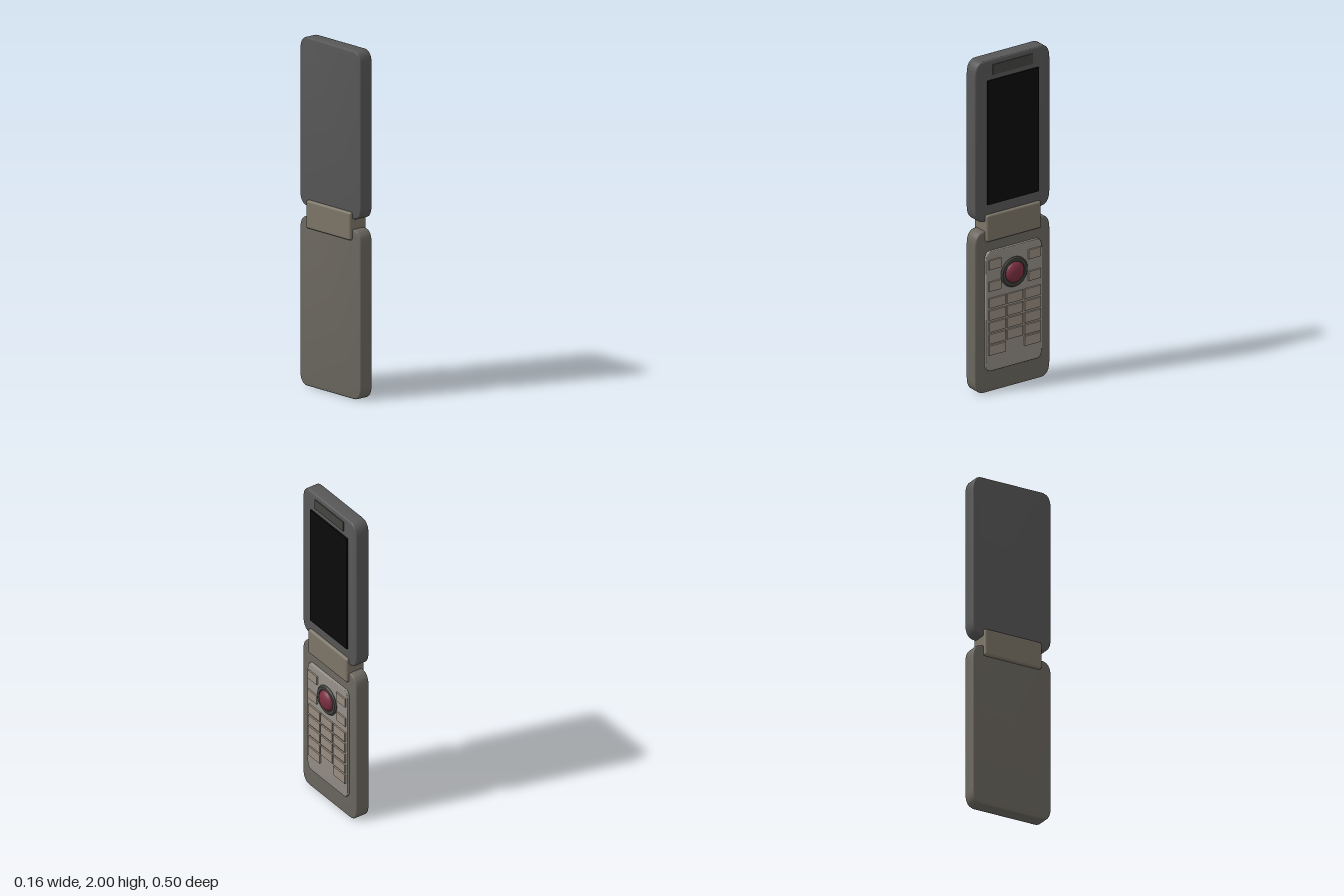
import * as THREE from 'three';
import { toCreasedNormals } from 'three/addons/utils/BufferGeometryUtils.js';
import { RoundedBoxGeometry } from 'three/addons/geometries/RoundedBoxGeometry.js';

const material = (color) => new THREE.MeshStandardMaterial({ color });
const lidGrey = material(0x575757);
const baseGrey = material(0x6b675f);
const hingeGrey = material(0x7c7568);
const padGrey = material(0x938e86);
const keyGrey = material(0x998d80);
const darkGrey = material(0x444441);
const black = material(0x0a0a0a);
const red = material(0x7a2f40);

// Rectangle with rounded corners; u runs along -z, v along y
function roundedRect(u0, u1, v0, v1, ru, rv) {
  const s = new THREE.Shape();
  s.moveTo(u0 + ru, v0);
  s.lineTo(u1 - ru, v0);
  s.quadraticCurveTo(u1, v0, u1, v0 + rv);
  s.lineTo(u1, v1 - rv);
  s.quadraticCurveTo(u1, v1, u1 - ru, v1);
  s.lineTo(u0 + ru, v1);
  s.quadraticCurveTo(u0, v1, u0, v1 - rv);
  s.lineTo(u0, v0 + rv);
  s.quadraticCurveTo(u0, v0, u0 + ru, v0);
  return s;
}

// Softly bevelled slab from x0 to x1, its outer size given by u and v
function slab(name, mat, [u0, u1], [v0, v1], [x0, x1], ru, rv, bevel) {
  const shape = roundedRect(u0, u1, v0, v1, ru, rv);
  const geo = new THREE.ExtrudeGeometry(shape, {
    depth: x1 - x0 - 2 * bevel,
    bevelEnabled: true,
    bevelSize: bevel,
    bevelOffset: -bevel,
    bevelThickness: bevel,
    bevelSegments: 3,
    curveSegments: 10,
  });
  geo.translate(0, 0, x0 + bevel);
  geo.rotateY(Math.PI / 2);
  const mesh = new THREE.Mesh(toCreasedNormals(geo, 0.6), mat);
  mesh.name = name;
  return mesh;
}

// Plain block from ranges along u, y and x
function block(name, mat, [u0, u1], [v0, v1], [x0, x1]) {
  const mesh = new THREE.Mesh(new THREE.BoxGeometry(x1 - x0, v1 - v0, u1 - u0), mat);
  mesh.position.set((x0 + x1) / 2, (v0 + v1) / 2, -(u0 + u1) / 2);
  mesh.name = name;
  return mesh;
}

export function createModel() {
  const phone = new THREE.Group();
  phone.name = 'flipPhone';

  // Lid with screen and earpiece
  const lid = new THREE.Group();
  lid.name = 'lid';
  lid.add(
    slab('lidShell', lidGrey, [-0.2525, 0.2525], [1.033, 2], [-0.062, 0.026], 0.06, 0.085, 0.008),
    block('screen', black, [-0.173, 0.173], [1.132, 1.88], [0.01, 0.035]),
    block('earpiece', darkGrey, [-0.135, 0.135], [1.908, 1.97], [0.01, 0.031])
  );
  phone.add(lid);

  // Hinge barrel, thicker than both halves
  const hinge = new THREE.Mesh(new RoundedBoxGeometry(0.123, 0.162, 0.37, 4, 0.013), hingeGrey);
  hinge.name = 'hinge';
  hinge.position.set(-0.0185, 0.991, 0);
  phone.add(hinge);

  // Base with raised keypad plate
  const base = new THREE.Group();
  base.name = 'base';
  base.add(
    slab('baseShell', baseGrey, [-0.2525, 0.2525], [0, 0.972], [-0.062, 0.026], 0.06, 0.085, 0.008),
    slab('keypadPlate', padGrey, [-0.19, 0.19], [0.128, 0.85], [0.01, 0.041], 0.035, 0.06, 0.005)
  );
  phone.add(base);

  // Number keys: three columns, with the middle one missing in the last row
  const keys = new THREE.Group();
  keys.name = 'keys';
  const columns = [[-0.172, -0.062], [-0.051, 0.055], [0.067, 0.176]];
  const rows = [0.542, 0.469, 0.397, 0.326, 0.257];
  rows.forEach((y, r) => columns.forEach((col, c) => {
    if (r === 4 && c === 1) return;
    keys.add(block('numberKey', keyGrey, col, [y - 0.029, y + 0.029], [0.03, 0.05]));
  }));

  // Soft keys on either side of the trackball
  for (const y of [0.773, 0.642]) {
    for (const col of [[-0.174, -0.09], [0.093, 0.177]]) {
      keys.add(block('softKey', keyGrey, col, [y - 0.028, y + 0.028], [0.03, 0.05]));
    }
  }
  phone.add(keys);

  // Ring around the trackball, turned about the x axis
  const profile = [[0.055, 0.035], [0.06, 0.046], [0.066, 0.052], [0.082, 0.052], [0.09, 0.044], [0.09, 0.03]]
    .map(([r, h]) => new THREE.Vector2(r, h))
    .reverse();
  const ringGeo = toCreasedNormals(new THREE.LatheGeometry(profile, 48), 0.5);
  ringGeo.rotateZ(-Math.PI / 2);
  const ring = new THREE.Mesh(ringGeo, darkGrey);
  ring.name = 'trackballRing';
  ring.position.y = 0.692;

  // Flattened trackball
  const ball = new THREE.Mesh(new THREE.SphereGeometry(0.062, 32, 24), red);
  ball.name = 'trackball';
  ball.scale.x = 0.55;
  ball.position.set(0.044, 0.692, 0);
  phone.add(ring, ball);

  return phone;
}
